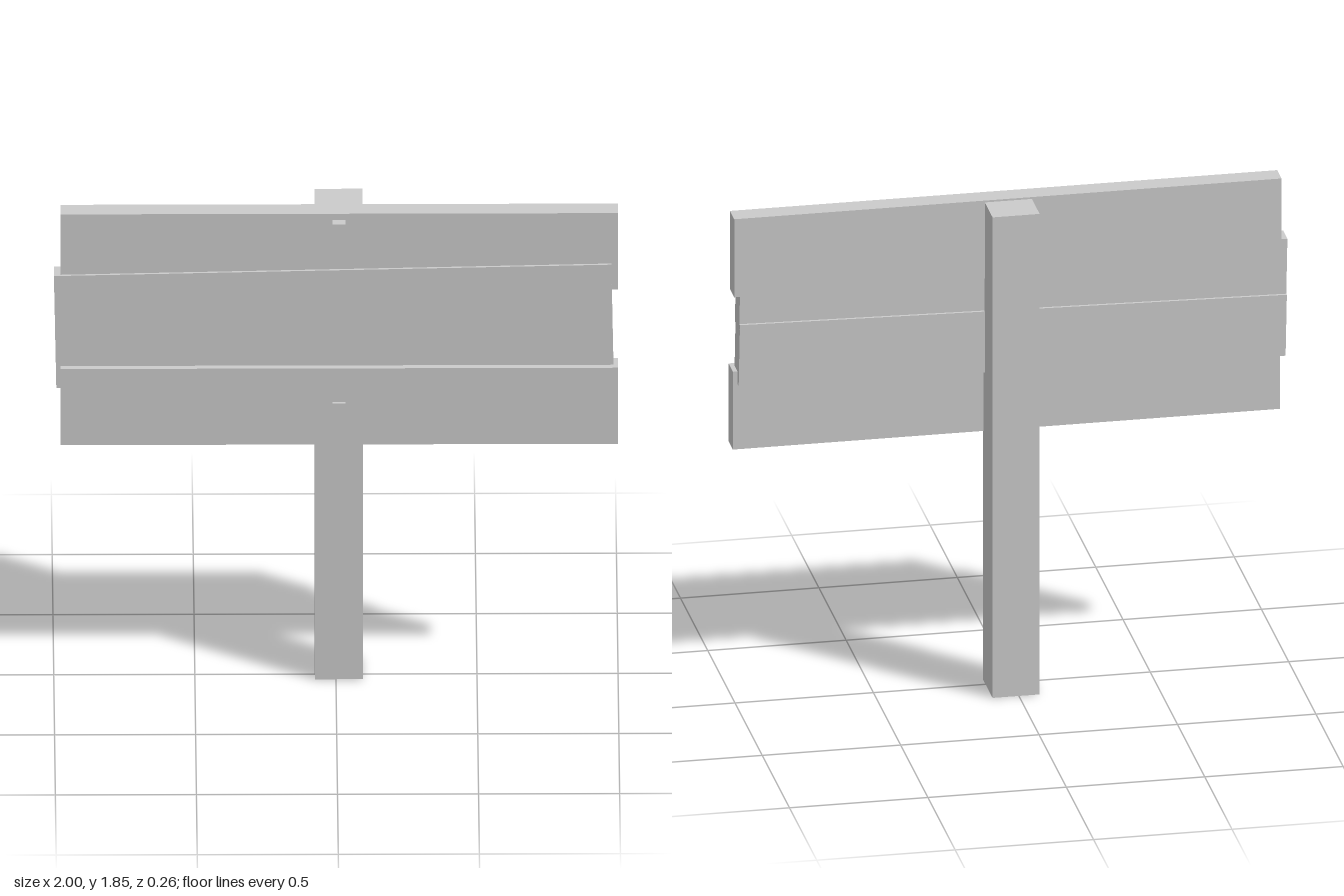
import * as THREE from 'three';

const material = new THREE.MeshStandardMaterial({ color: 0xcccccc, flatShading: true });

// Box given by its extents on each axis, optionally tilted about z
function box(name, [x0, x1], [y0, y1], [z0, z1], tilt = 0) {
  const mesh = new THREE.Mesh(new THREE.BoxGeometry(x1 - x0, y1 - y0, z1 - z0), material);
  mesh.position.set((x0 + x1) / 2, (y0 + y1) / 2, (z0 + z1) / 2);
  mesh.rotation.z = tilt;
  mesh.name = name;
  return mesh;
}

export function createModel() {
  const sign = new THREE.Group();
  sign.name = 'woodenSign';

  // Square post
  sign.add(box('post', [-0.075, 0.095], [0, 1.84], [-0.13, 0.043]));

  // Level planks at the top and bottom of the board
  sign.add(box('topPlank', [-0.977, 1], [1.548, 1.847], [0.013, 0.093]));
  sign.add(box('bottomPlank', [-0.977, 1], [0.955, 1.253], [0.038, 0.118]));

  // Slightly crooked planks between them, overlapping each other
  const tilt = 0.02;
  sign.add(box('upperMiddlePlank', [-0.998, 0.978], [1.398, 1.63], [0.023, 0.103], tilt));
  sign.add(box('lowerMiddlePlank', [-0.994, 0.982], [1.187, 1.42], [0.013, 0.093], tilt));

  // Square nail heads
  for (const [name, y] of [['topNail', 1.798], ['bottomNail', 1.097]]) {
    sign.add(box(name, [-0.012, 0.034], [y - 0.024, y + 0.024], [0.085, 0.13]));
  }
  return sign;
}
